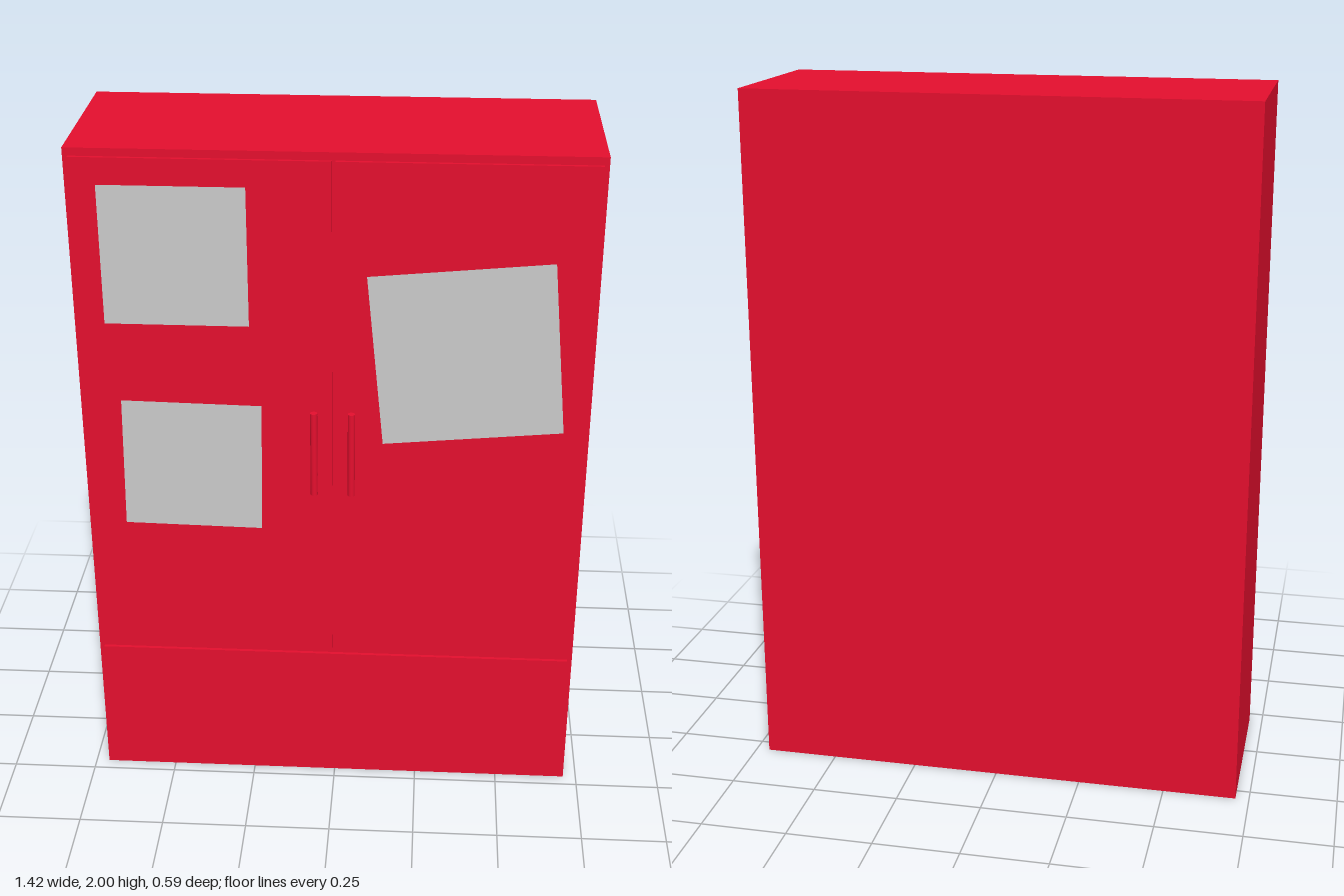
import * as THREE from 'three';

export function createModel() {
  const model = new THREE.Group();
  model.name = 'cabinet';
  const red = new THREE.MeshStandardMaterial({ color: 0xe50f2e });
  const paper = new THREE.MeshStandardMaterial({ color: 0xcccccc, side: THREE.DoubleSide });

  const FRONT = 0.213; // front of the carcass
  const FACE = 0.223; // front of the doors and drawer

  function add(parent, name, geometry, material, x, y, z) {
    const mesh = new THREE.Mesh(geometry, material);
    mesh.name = name;
    mesh.position.set(x, y, z);
    parent.add(mesh);
    return mesh;
  }

  // Box given by its lower and upper corners
  function box(name, x0, x1, y0, y1, z0, z1) {
    return add(model, name, new THREE.BoxGeometry(x1 - x0, y1 - y0, z1 - z0), red,
      (x0 + x1) / 2, (y0 + y1) / 2, (z0 + z1) / 2);
  }

  // Carcass and drawer front
  box('body', -0.711, 0.711, 0, 2, -0.296, FRONT);
  box('drawerFront', -0.697, 0.697, 0.016, 0.44, FRONT, FACE);

  // Doors, each with a bar handle on two posts
  for (const [side, s] of [['left', 1], ['right', -1]]) {
    const [x0, x1] = [0.005 * s, 0.697 * s].sort((a, b) => a - b);
    box(side + 'Door', x0, x1, 0.456, 1.978, FRONT, FACE);

    const handle = new THREE.Group();
    handle.name = side + 'Handle';
    handle.position.x = 0.052 * s;
    add(handle, 'bar', new THREE.CylinderGeometry(0.01, 0.01, 0.255, 16), red, 0, 1.153, 0.286);
    for (const y of [1.06, 1.245]) {
      const post = add(handle, 'post', new THREE.CylinderGeometry(0.007, 0.007, 0.066, 12), red, 0, y, 0.253);
      post.rotation.x = Math.PI / 2;
    }
    model.add(handle);
  }

  // Paper sheets on the doors: centre, size, tilt
  const sheets = [
    [-0.429, 1.706, 0.396, 0],
    [-0.402, 1.074, 0.394, -0.018],
    [0.364, 1.434, 0.504, 0.095],
  ];
  for (const [x, y, size, tilt] of sheets) {
    add(model, 'paperSheet', new THREE.PlaneGeometry(size, size), paper, x, y, FACE + 0.002).rotation.z = tilt;
  }

  return model;
}
